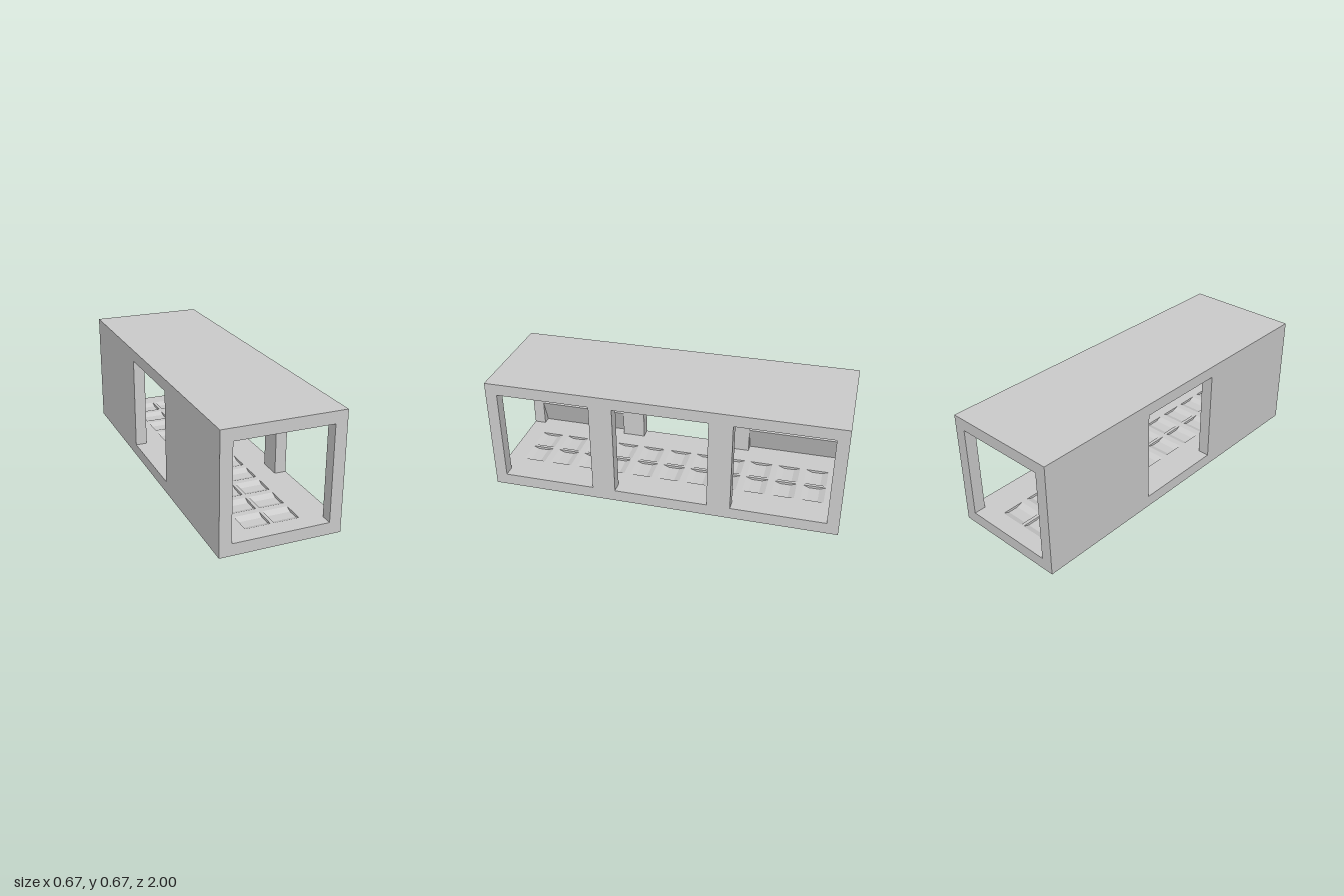
import * as THREE from 'three';
import { ConvexGeometry } from 'three/addons/geometries/ConvexGeometry.js';

const material = new THREE.MeshStandardMaterial({ color: 0xcccccc, flatShading: true });
const HALF = 1 / 3, INNER = 0.267, LOW = 0.067, HIGH = 0.6, BACK = -0.317;
const V = (x, y, z) => new THREE.Vector3(x, y, z);

function add(parent, name, geometry, x = 0, y = 0, z = 0) {
  const mesh = new THREE.Mesh(geometry, material);
  mesh.name = name;
  mesh.position.set(x, y, z);
  parent.add(mesh);
  return mesh;
}

// Box given by its limits on each axis
function box(parent, name, x0, x1, y0, y1, z0, z1) {
  return add(parent, name, new THREE.BoxGeometry(x1 - x0, y1 - y0, z1 - z0),
    (x0 + x1) / 2, (y0 + y1) / 2, (z0 + z1) / 2);
}

function shapeOf(points) {
  return new THREE.Shape(points.map(([x, y]) => new THREE.Vector2(x, y)));
}

// Chamfered upright block, with an optional point at its lower end
function uprightBlock(parent, y0, y1, z, tip) {
  const points = [];
  for (const y of [y0, y1]) {
    for (const s of [-1, 1]) {
      points.push(V(BACK, y, s * 0.055), V(-0.285, y, s * 0.055), V(-0.253, y, s * 0.022));
    }
  }
  if (tip) points.push(V(-0.293, tip, 0), V(BACK, tip, 0));
  add(parent, 'uprightBlock', new ConvexGeometry(points), 0, 0, z);
}

// Faceted stud: a hexagonal foot narrowing to a small flat face
function stud(parent, y, z, faceZ, faceY) {
  const points = [];
  for (const x of [BACK, -0.285]) {
    for (const s of [-1, 1]) {
      points.push(V(x, 0, s * 0.058), V(x, 0.03, s * 0.034), V(x, -0.03, s * 0.034));
    }
  }
  for (const s of [-1, 1]) points.push(V(-0.259, faceY, s * faceZ), V(-0.259, -faceY, s * faceZ));
  add(parent, 'stud', new ConvexGeometry(points), 0, y, z);
}

// Closed wall bay with its ridged panel, blocks and studs
function wallBay(z) {
  const bay = new THREE.Group();
  bay.name = 'wallBay';
  bay.position.z = z;
  const profile = shapeOf([[-HALF, LOW], [BACK, LOW], [-INNER, 0.213], [BACK, 0.34],
    [BACK, HIGH], [-HALF, HIGH]]);
  add(bay, 'ridgedPanel',
    new THREE.ExtrudeGeometry(profile, { depth: 0.534, bevelEnabled: false }), 0, 0, -0.267);
  for (const side of [-1, 1]) {
    uprightBlock(bay, 0.425, 0.517, side * 0.18);
    for (const y of [0.56, 0.38]) stud(bay, y, side * 0.18, 0.03, 0.014);
  }
  uprightBlock(bay, 0.513, HIGH, 0);
  uprightBlock(bay, 0.335, 0.425, 0, 0.28);
  stud(bay, 0.47, 0, 0.022, 0.012);
  return bay;
}

// Floor with two rows of shallow recesses that have sloping ends
function floor() {
  const group = new THREE.Group();
  group.name = 'floor';
  const base = 0.053, length = 0.13;
  box(group, 'floorBase', -HALF, HALF, 0, base, -1, 1);
  const top = shapeOf([[-HALF, -1], [HALF, -1], [HALF, 1], [-HALF, 1]]);
  const ramp = shapeOf([[0, 0], [0.035, 0], [0, LOW - base]]);
  const rampGeometry = new THREE.ExtrudeGeometry(ramp, { depth: 0.14, bevelEnabled: false });
  for (let i = -5; i <= 5; i++) {
    const z = i / 6;
    for (const x of [-0.08, 0.08]) {
      const x0 = x - 0.07, x1 = x + 0.07, z0 = -z - length / 2, z1 = -z + length / 2;
      top.holes.push(new THREE.Path([[x0, z0], [x0, z1], [x1, z1], [x1, z0]]
        .map(([a, b]) => new THREE.Vector2(a, b))));
      for (const end of [-1, 1]) {
        const wedge = add(group, 'recessRamp', rampGeometry,
          x - end * 0.07, base, z + end * length / 2);
        wedge.rotation.y = end * Math.PI / 2;
      }
    }
  }
  const layer = new THREE.ExtrudeGeometry(top, { depth: LOW - base, bevelEnabled: false });
  layer.rotateX(-Math.PI / 2);
  add(group, 'floorTop', layer, 0, base, 0);
  return group;
}

export function createModel() {
  const model = new THREE.Group();
  model.name = 'corridorSection';
  model.add(floor());
  box(model, 'roof', -HALF, HALF, HIGH, 2 / 3, -1, 1);

  // Posts between the side openings
  for (const [z0, z1] of [[-1, -0.933], [-0.4, -0.267], [0.267, 0.4], [0.933, 1]]) {
    box(model, 'leftPost', INNER, HALF, LOW, HIGH, z0, z1);
    box(model, 'rightPost', -HALF, -INNER, LOW, HIGH, z0, z1);
  }

  // Closed bays on the right wall
  for (const z of [-0.667, 0.667]) model.add(wallBay(z));
  return model;
}
